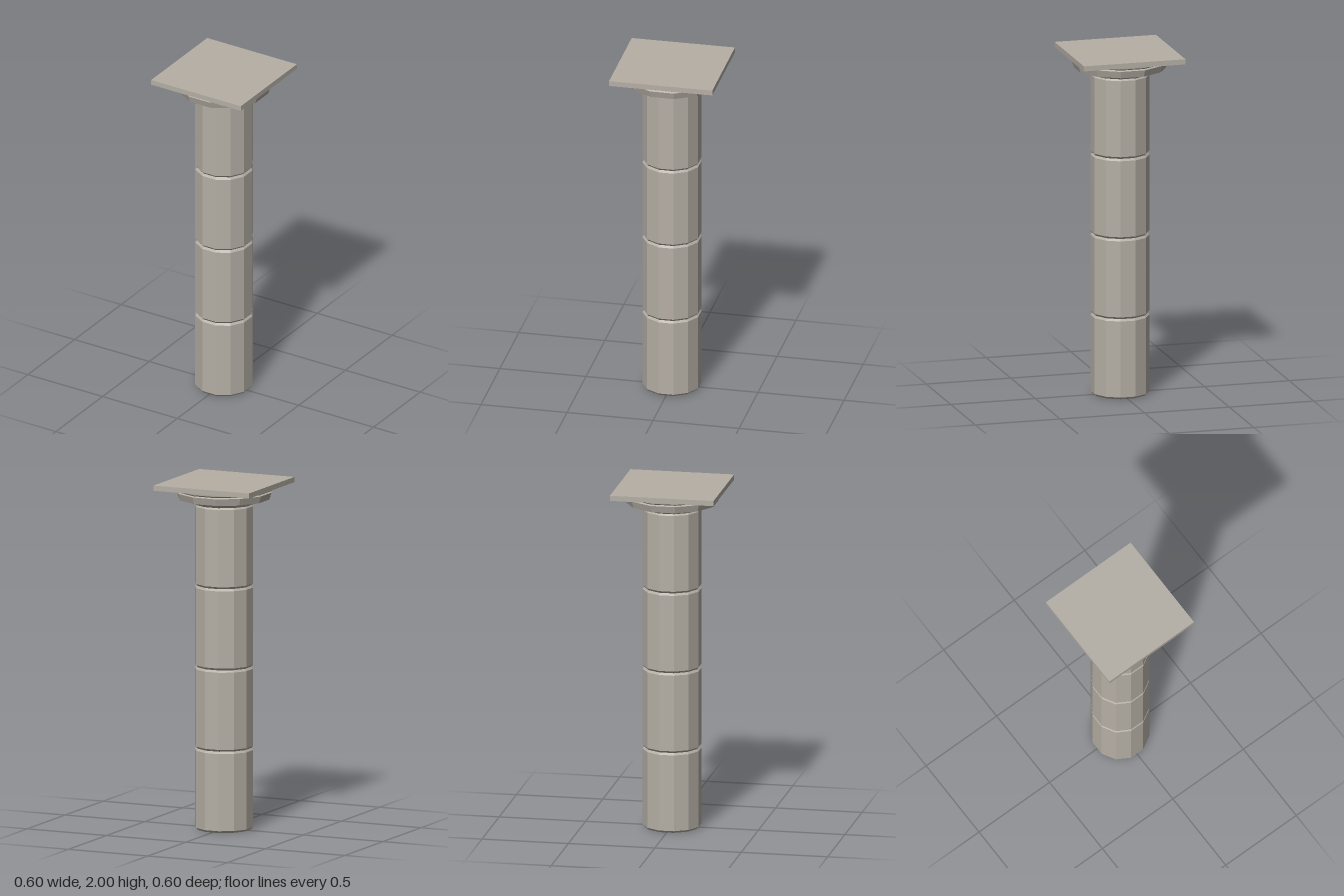
import * as THREE from 'three';

const SIDES = 12;
const FLAT = Math.cos(Math.PI / SIDES); // half-width across flats / corner radius

export function createModel() {
  const group = new THREE.Group();
  const stone = new THREE.MeshStandardMaterial({ color: 0xb5afa5, flatShading: true });

  const add = (name, geometry, y = 0) => {
    const mesh = new THREE.Mesh(geometry, stone);
    mesh.name = name;
    mesh.position.y = y;
    group.add(mesh);
  };

  // Twelve-sided turned form; profile is [half-width, height] from bottom to top
  const turned = (profile) => new THREE.LatheGeometry(
    profile.map(([w, y]) => new THREE.Vector2(w / FLAT, y)),
    SIDES, Math.PI / SIDES, Math.PI * 2);

  // Shaft: four stacked drums with chamfered rims
  const drumHeight = 0.4685;
  const bevel = 0.012;
  const drum = turned([
    [0, 0], [0.152, 0], [0.162, bevel],
    [0.162, drumHeight - bevel], [0.152, drumHeight], [0, drumHeight],
  ]);
  for (let i = 0; i < 4; i++) add(`shaftDrum${i + 1}`, drum, i * drumHeight);

  // Capital: necking ring
  add('neckRing', turned([
    [0, 1.872], [0.165, 1.874], [0.18, 1.887], [0.195, 1.892], [0.197, 1.904], [0, 1.904],
  ]));

  // Capital: flared cushion with a narrow groove and top fillet
  add('cushion', turned([
    [0, 1.903], [0.253, 1.903], [0.265, 1.943], [0.256, 1.949],
    [0.268, 1.957], [0.27, 1.971], [0, 1.971],
  ]));

  // Square top slab
  add('topSlab', new THREE.BoxGeometry(0.6, 0.03, 0.6), 1.985);

  return group;
}
